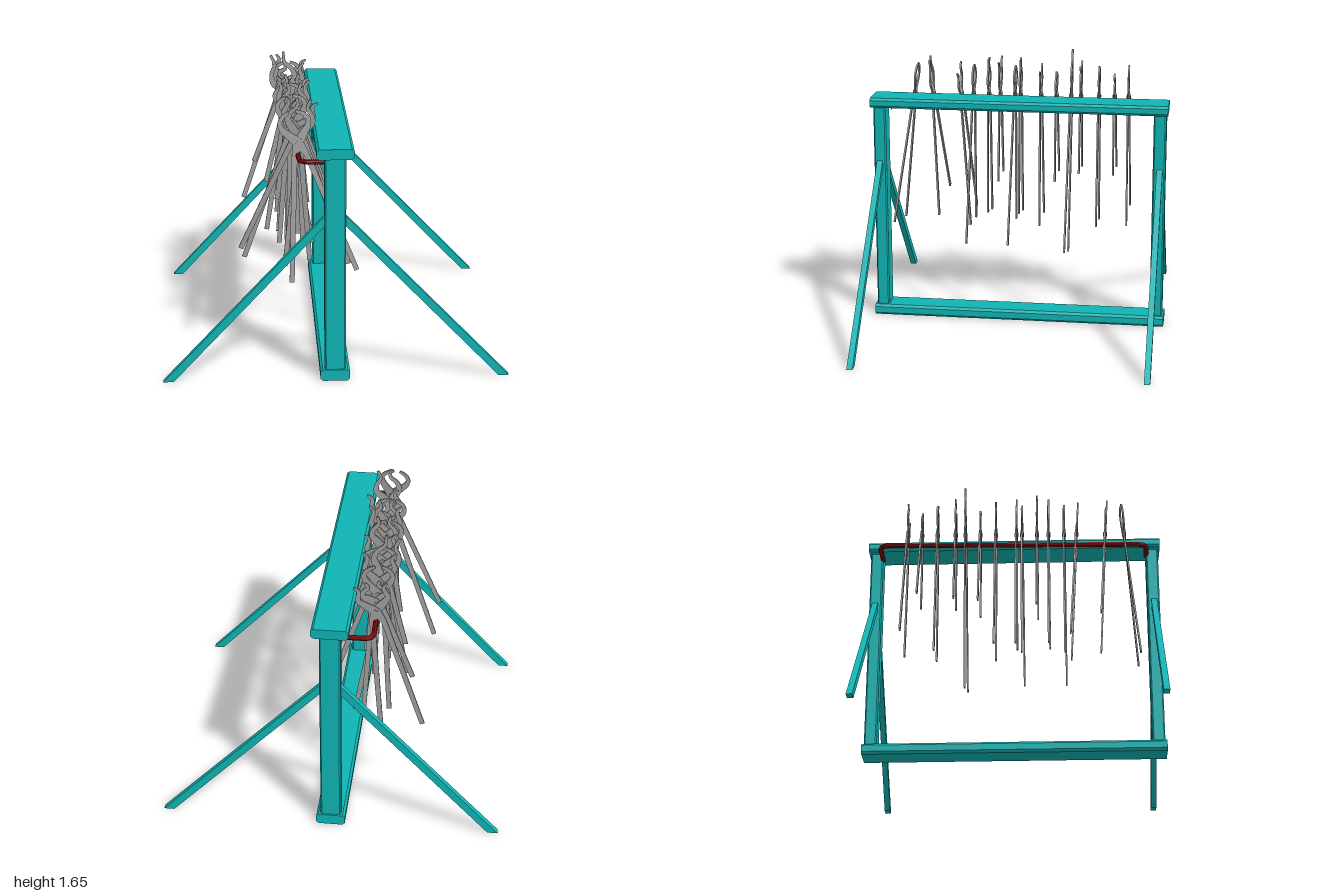
import * as THREE from 'three';

const paint = (color) => new THREE.MeshStandardMaterial({ color, flatShading: true });
const teal = paint(0x10b4b4);
const red = paint(0x8b0808);
const steel = paint(0xa0a0a0);
steel.side = THREE.DoubleSide;

function addMesh(parent, name, geometry, material) {
  const mesh = new THREE.Mesh(geometry, material);
  mesh.name = name;
  parent.add(mesh);
  return mesh;
}

function extrude(points, depth) {
  const shape = new THREE.Shape(points.map(([x, y]) => new THREE.Vector2(x, y)));
  return new THREE.ExtrudeGeometry(shape, { depth, bevelEnabled: false }).translate(0, 0, -depth / 2);
}

// Bar with chamfered long edges, running along z
function chamferedBar(w, h, length, c) {
  const x = w / 2, y = h / 2;
  return extrude([[x - c, -y], [x, c - y], [x, y - c], [x - c, y],
    [c - x, y], [-x, y - c], [-x, c - y], [c - x, -y]], length);
}

// Flat bar following a centre line of [x, y, halfWidth] points
function ribbon(line, depth) {
  const left = [], right = [];
  line.forEach(([x, y, w], i) => {
    const a = line[Math.max(i - 1, 0)], b = line[Math.min(i + 1, line.length - 1)];
    const dx = b[0] - a[0], dy = b[1] - a[1], l = Math.hypot(dx, dy);
    left.push([x - dy / l * w, y + dx / l * w]);
    right.unshift([x + dy / l * w, y - dx / l * w]);
  });
  return extrude([...left, ...right], depth);
}

// Jaw outlines: [x, fraction of jaw height, half width]
const jaws = [
  [[0.045, 0.3, 0.022], [0.075, 0.52, 0.017], [0.08, 0.72, 0.013], [0.055, 0.9, 0.011], [0.018, 1, 0.008]],
  [[0.04, 0.25, 0.024], [0.07, 0.42, 0.018], [0.06, 0.62, 0.013], [0.03, 0.78, 0.011], [0.04, 1, 0.008]],
  [[0.05, 0.28, 0.022], [0.085, 0.5, 0.016], [0.075, 0.7, 0.013], [0.07, 0.85, 0.01], [0.095, 1, 0.006]],
];
const PIVOT_Y = 1.36;

// One pair of tongs; ends are the left and right handle tips
function makeTongs(z, top, ends, tilt, style) {
  const tongs = new THREE.Group();
  tongs.name = 'tongs';
  const px = -0.225 + 0.025 * z;
  const midX = (ends[0][0] + ends[1][0]) / 2 - px;
  const midY = PIVOT_Y - (ends[0][1] + ends[1][1]) / 2;
  const lean = Math.atan2(midX, midY);
  tongs.position.set(px, PIVOT_Y, z);
  tongs.rotation.set(tilt, 0, lean);
  const height = top - PIVOT_Y;

  ends.forEach(([ex, ey], i) => {
    const s = i ? 1 : -1;
    const tip = new THREE.Vector2(ex - px, ey - PIVOT_Y).rotateAround(new THREE.Vector2(), -lean);
    // Jaw crosses to the side opposite its handle
    const curve = new THREE.CatmullRomCurve3([
      new THREE.Vector3(s * 0.034, -0.07, 0.016),
      new THREE.Vector3(0, 0, 0.028),
      ...jaws[style].map(([x, f, w]) => new THREE.Vector3(-s * x, f * height, w)),
    ]);
    const line = [[tip.x, tip.y, 0.014], ...curve.getPoints(18).map((p) => [p.x, p.y, p.z])];
    const half = addMesh(tongs, i ? 'rightTongHalf' : 'leftTongHalf', ribbon(line, 0.01), steel);
    half.position.z = s * 0.003;
  });
  const rivet = addMesh(tongs, 'rivet', new THREE.CylinderGeometry(0.014, 0.014, 0.024, 8), steel);
  rivet.rotation.x = Math.PI / 2;
  return tongs;
}

export function createModel() {
  const model = new THREE.Group();

  // Top and bottom beams
  addMesh(model, 'topBeam', chamferedBar(0.21, 0.06, 1.79, 0.014), teal).position.set(-0.01, 1.355, 0);
  addMesh(model, 'bottomBeam', chamferedBar(0.17, 0.066, 1.79, 0.014), teal).position.set(-0.01, 0.033, 0);

  // Posts, each with a diagonal brace on both sides
  for (const side of [1, -1]) {
    const post = addMesh(model, 'post', chamferedBar(0.12, 0.075, 1.29, 0.008), teal);
    post.rotation.x = Math.PI / 2;
    post.position.set(-0.01, 0.69, side * 0.847);
    for (const s of [1, -1]) {
      const inner = s > 0 ? 0.04 : -0.06;
      const brace = extrude([[s * 0.995, 0], [s * 0.935, 0], [inner, 0.94], [inner, 1.0]], 0.035);
      addMesh(model, 'brace', brace, teal).position.z = side * 0.85;
    }
  }

  // Hanging rail with bent ends
  const v = (x, z) => new THREE.Vector3(x, 1.29, z);
  const rail = new THREE.CurvePath();
  rail.add(new THREE.LineCurve3(v(-0.05, -0.81), v(-0.19, -0.81)));
  rail.add(new THREE.QuadraticBezierCurve3(v(-0.19, -0.81), v(-0.245, -0.81), v(-0.244, -0.75)));
  rail.add(new THREE.LineCurve3(v(-0.244, -0.75), v(-0.207, 0.75)));
  rail.add(new THREE.QuadraticBezierCurve3(v(-0.207, 0.75), v(-0.205, 0.81), v(-0.15, 0.81)));
  rail.add(new THREE.LineCurve3(v(-0.15, 0.81), v(-0.05, 0.81)));
  addMesh(model, 'rail', new THREE.TubeGeometry(rail, 100, 0.015, 8), red);

  // Tongs: z, top, left handle tip, right handle tip, tilt
  const rack = [
    [0.675, 1.54, [-0.25, 0.55], [0.12, 0.62], -0.1],
    [0.56, 1.59, [-0.54, 0.68], [-0.14, 0.6], 0.055],
    [0.385, 1.535, [-0.52, 0.56], [-0.28, 0.5], 0.05],
    [0.31, 1.535, [-0.26, 0.56], [0.1, 0.495], 0],
    [0.215, 1.585, [-0.31, 0.6], [-0.17, 0.62], 0],
    [0.145, 1.58, [-0.32, 0.85], [-0.14, 0.83], 0],
    [0.055, 1.535, [-0.26, 0.56], [0.1, 0.495], 0],
    [0.02, 1.585, [-0.31, 0.6], [-0.16, 0.62], 0],
    [-0.105, 1.535, [-0.38, 0.57], [-0.19, 0.54], 0],
    [-0.2, 1.5, [-0.38, 0.85], [-0.18, 0.83], 0],
    [-0.29, 1.645, [-0.09, 0.41], [0.1, 0.46], 0],
    [-0.35, 1.56, [-0.31, 0.9], [-0.16, 0.89], 0],
    [-0.46, 1.54, [-0.31, 0.56], [-0.16, 0.555], 0],
    [-0.555, 1.5, [-0.45, 0.87], [-0.23, 0.87], 0],
    [-0.64, 1.53, [-0.52, 0.6], [-0.28, 0.535], 0],
  ];
  rack.forEach(([z, top, left, right, tilt], i) => {
    model.add(makeTongs(z, top, [left, right], tilt, i % 3));
  });
  return model;
}
